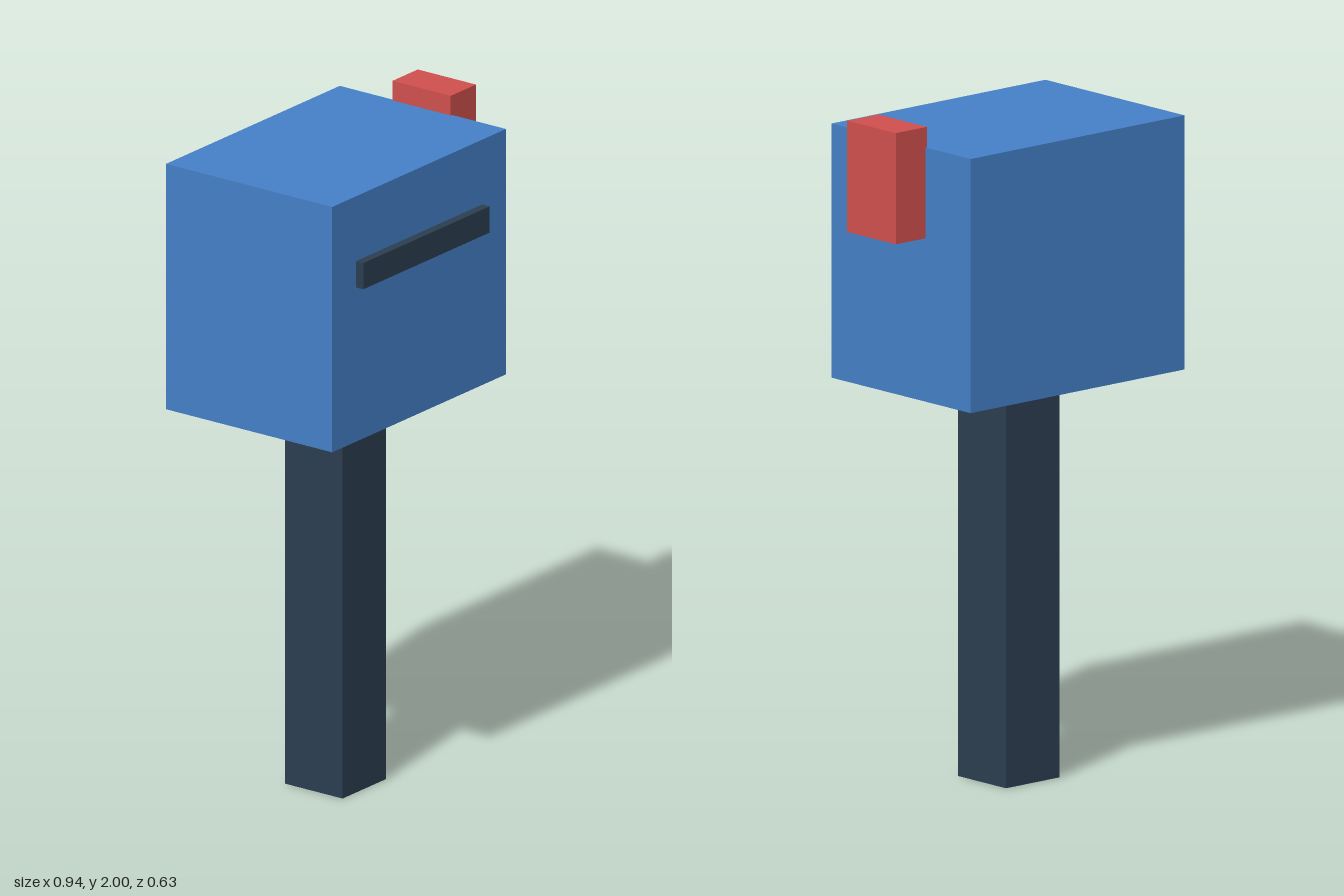
import * as THREE from 'three';

const blue = new THREE.MeshStandardMaterial({ color: 0x4480c8 });
const dark = new THREE.MeshStandardMaterial({ color: 0x2c3e50 });
const red = new THREE.MeshStandardMaterial({ color: 0xd0504e });

// Box given by its extent along each axis
function block(name, material, [x0, x1], [y0, y1], [z0, z1]) {
  const mesh = new THREE.Mesh(new THREE.BoxGeometry(x1 - x0, y1 - y0, z1 - z0), material);
  mesh.position.set((x0 + x1) / 2, (y0 + y1) / 2, (z0 + z1) / 2);
  mesh.name = name;
  return mesh;
}

export function createModel() {
  const mailbox = new THREE.Group();
  mailbox.name = 'mailbox';
  mailbox.add(
    // Square post up to the underside of the box
    block('post', dark, [-0.163, 0.043], [0, 1.19], [-0.118, 0.09]),
    // Letter box
    block('box', blue, [-0.47, 0.355], [1.19, 1.94], [-0.314, 0.286]),
    // Slot bar, sunk slightly into the front
    block('mailSlot', dark, [-0.358, 0.242], [1.662, 1.742], [0.27, 0.313]),
    // Signal flag on the left side
    block('flag', red, [0.349, 0.469], [1.672, 2], [-0.119, 0.091]),
  );
  return mailbox;
}
